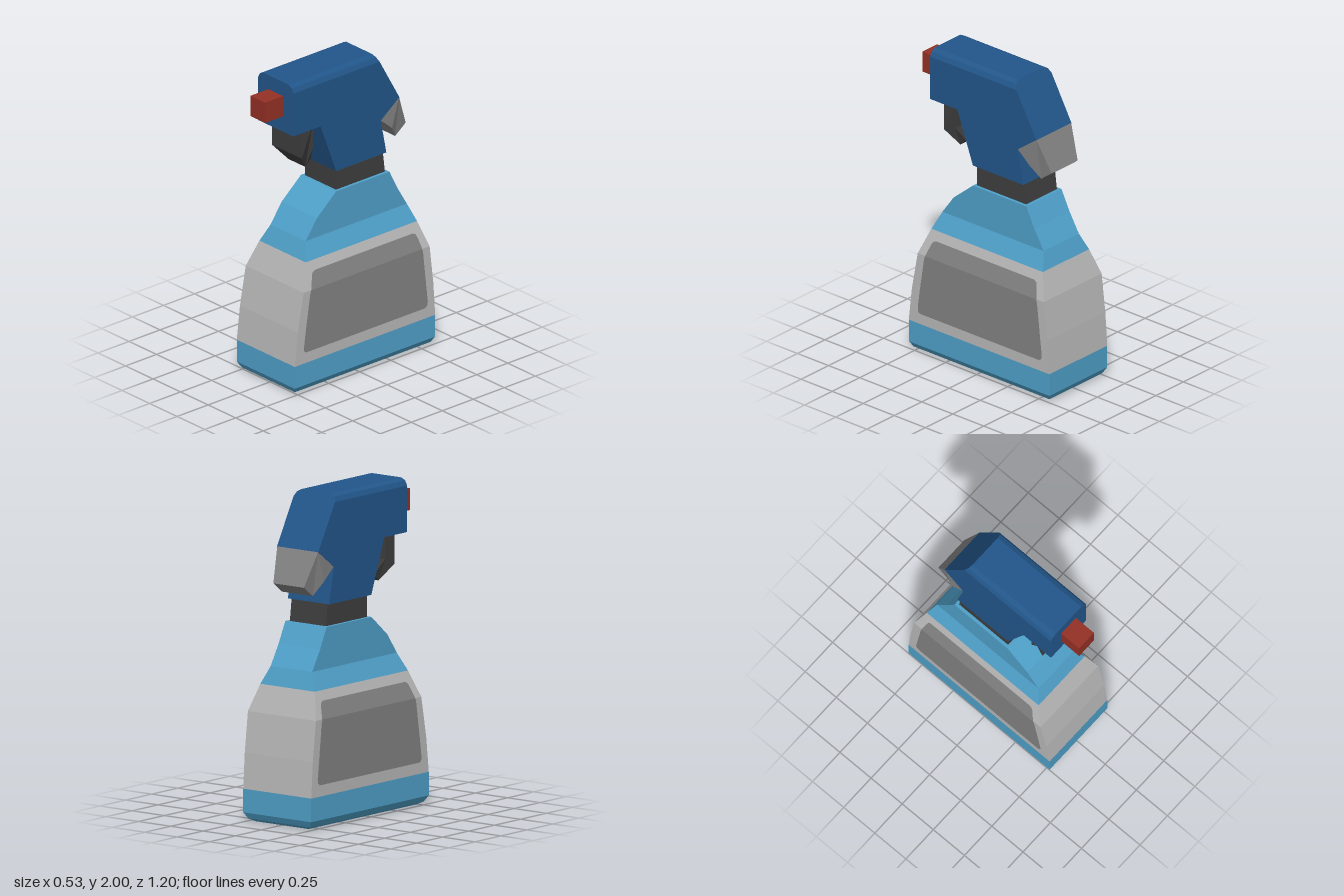
import * as THREE from 'three';

const mat = (name, color) => {
  const m = new THREE.MeshStandardMaterial({ color, flatShading: true });
  m.name = name;
  return m;
};

// Stack of rectangular rings [y, zFront, zBack, xMin, xMax] with end caps
function loft(rings) {
  const pos = [];
  const loops = rings.map(([y, zf, zb, x0, x1]) => [[x1, y, zf], [x1, y, zb], [x0, y, zb], [x0, y, zf]]);
  const quad = (a, b, c, d) => pos.push(...a, ...b, ...c, ...a, ...c, ...d);
  for (let r = 0; r < loops.length - 1; r++) {
    const a = loops[r], b = loops[r + 1];
    for (let i = 0; i < 4; i++) quad(a[i], a[(i + 1) % 4], b[(i + 1) % 4], b[i]);
  }
  const bottom = loops[0], top = loops[loops.length - 1];
  quad(...top);
  quad(...[...bottom].reverse());
  const g = new THREE.BufferGeometry();
  g.setAttribute('position', new THREE.Float32BufferAttribute(pos, 3));
  g.computeVertexNormals();
  return g;
}

// Side profile of [z, y] points extruded across x, then reshaped by a vertex rule
function sideExtrude(points, halfWidth, steps = 1, rule = null) {
  const shape = new THREE.Shape(points.map(([z, y]) => new THREE.Vector2(z, y)));
  const g = new THREE.ExtrudeGeometry(shape, { depth: 2 * halfWidth, steps, bevelEnabled: false });
  g.translate(0, 0, -halfWidth);
  g.rotateY(-Math.PI / 2);
  if (rule) {
    const p = g.attributes.position, v = new THREE.Vector3();
    for (let i = 0; i < p.count; i++) {
      v.fromBufferAttribute(p, i);
      rule(v);
      p.setXYZ(i, v.x, v.y, v.z);
    }
  }
  g.computeVertexNormals();
  return g;
}

export function createModel() {
  const lightBlue = mat('light blue plastic', 0x4fa0c9);
  const darkBlue = mat('dark blue plastic', 0x22568a);
  const paleGrey = mat('pale grey band', 0xb8b8b8);
  const grey = mat('mid grey', 0x828282);
  const charcoal = mat('charcoal plastic', 0x3e3e3e);
  const red = mat('red nozzle', 0x943025);

  const model = new THREE.Group();
  model.name = 'sprayBottle';
  const add = (name, geometry, material) => {
    const mesh = new THREE.Mesh(geometry, material);
    mesh.name = name;
    model.add(mesh);
    return mesh;
  };
  const symmetric = rows => loft(rows.map(([y, zf, zb, w]) => [y, zf, zb, -w, w]));

  // Bottle body in three colour bands
  add('bottleBase', symmetric([
    [0, 0.485, -0.55, 0.205], [0.018, 0.515, -0.578, 0.24],
    [0.055, 0.535, -0.597, 0.263], [0.2, 0.535, -0.597, 0.263],
  ]), lightBlue);
  add('bottleBand', symmetric([
    [0.2, 0.535, -0.597, 0.263], [0.42, 0.51, -0.582, 0.263],
    [0.67, 0.463, -0.552, 0.263], [0.835, 0.4, -0.498, 0.21],
  ]), paleGrey);
  add('bottleShoulder', symmetric([
    [0.835, 0.4, -0.498, 0.21], [0.945, 0.355, -0.46, 0.16],
    [1.07, 0.265, -0.385, 0.16], [1.2, 0.11, -0.32, 0.16],
  ]), lightBlue);

  // Thin side labels that follow the slope of the body
  const labelRows = [
    [0.27, 0.445, -0.515], [0.285, 0.46, -0.532], [0.31, 0.46, -0.535], [0.42, 0.445, -0.522],
    [0.645, 0.41, -0.497], [0.67, 0.402, -0.491], [0.75, 0.373, -0.472], [0.765, 0.365, -0.464], [0.775, 0.345, -0.445],
  ];
  for (const side of [1, -1]) {
    const rows = labelRows.map(([y, zf, zb]) => {
      const x = side * (0.263 - Math.max(0, y - 0.67) / 0.165 * 0.053);
      return [y, zf, zb, x - 0.003, x + 0.003];
    });
    add(side > 0 ? 'leftLabel' : 'rightLabel', loft(rows), grey);
  }

  // Neck collar
  add('neck', sideExtrude([[0.093, 1.19], [0.093, 1.345], [-0.283, 1.345], [-0.302, 1.19]], 0.14), charcoal);

  // Spray head, with its top long edges rounded off along the back slope
  const layerX = [0.115, 0.145, 0.16], layerTop = [2, 1.985, 1.955];
  add('sprayHead', sideExtrude([
    [0.455, 1.67], [0.235, 1.67], [0.11, 1.335], [-0.295, 1.335],
    [-0.25, 1.56], [-0.4, 1.67], [-0.215, 2], [0.455, 2],
  ], 0.16, 5, v => {
    const layer = Math.round((Math.abs(v.x) / 0.16 * 5 - 1) / 2);
    v.x = Math.sign(v.x) * layerX[layer];
    if (v.y > 1.99) {
      if (v.z < 0) v.z -= (2 - layerTop[layer]) * 0.56;
      v.y = layerTop[layer];
    }
  }), darkBlue);

  // Nozzle
  add('nozzle', new THREE.BoxGeometry(0.134, 0.134, 0.16), red).position.set(0, 1.84, 0.52);

  // Trigger with tapered tip
  add('trigger', sideExtrude([
    [0.365, 1.69], [0.365, 1.487], [0.285, 1.388], [0.24, 1.432], [0.275, 1.525], [0.275, 1.69],
  ], 0.135, 1, v => { if (v.y < 1.45) v.x *= 0.56; }), charcoal);

  // Rear grip spur, narrowing toward its end
  add('rearSpur', sideExtrude([
    [-0.25, 1.56], [-0.4, 1.67], [-0.487, 1.46], [-0.403, 1.397], [-0.343, 1.482],
  ], 0.158, 1, v => { if (v.y < 1.47) v.x *= 0.75; }), grey);

  return model;
}
